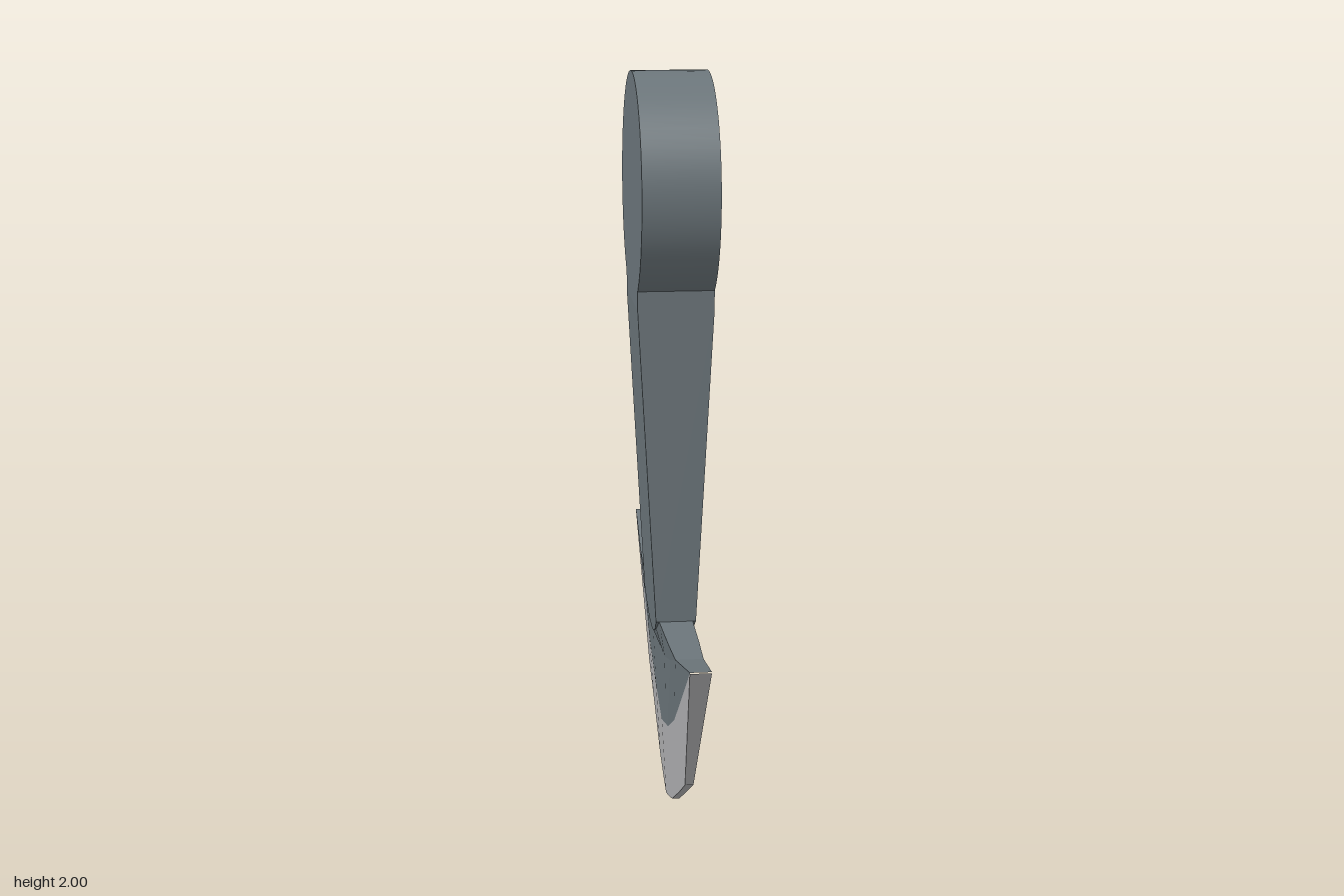
import * as THREE from 'three';

const slate = new THREE.MeshStandardMaterial({ color: 0x6c767b });
slate.name = 'slate';
const steel = new THREE.MeshStandardMaterial({ color: 0xb2b2b4 });
steel.name = 'pale steel';

// Blade cross-sections from the middle to the tip:
// z, then [half thickness, height] of top rim, hollow, bevel line and cutting edge
const half = [
  [0, [0.05, 0.49], [0.03, 0.447], [0.022, 0.218], [0.01, 0]],
  [0.06, [0.05, 0.498], [0.03, 0.449], [0.022, 0.233], [0.01, 0.016]],
  [0.12, [0.049, 0.522], [0.03, 0.453], [0.022, 0.249], [0.01, 0.035]],
  [0.165, [0.045, 0.556], [0.031, 0.46], [0.022, 0.26], [0.01, 0.05]],
  [0.35, [0.041, 0.56], [0.034, 0.513], [0.024, 0.348], [0.01, 0.147]],
  [0.49, [0.036, 0.563], [0.036, 0.563], [0.025, 0.443], [0.011, 0.223]],
  [0.74, [0.027, 0.617], [0.027, 0.617], [0.027, 0.616], [0.027, 0.614]],
];
const sections = [...half.slice(1).reverse().map(([z, ...p]) => [-z, ...p]), ...half];

// Strips between neighbouring sections; each strip joins two [rail, side] lines
function bladePart(strips) {
  const pos = [];
  const point = (s, [rail, side]) => [side * s[rail][0], s[rail][1], s[0]];
  for (let i = 0; i < sections.length - 1; i++) {
    const s = sections[i], t = sections[i + 1];
    for (const [p, q] of strips) {
      const a = point(s, p), b = point(s, q), c = point(t, q), d = point(t, p);
      pos.push(...a, ...c, ...b, ...a, ...d, ...c);
    }
  }
  const geo = new THREE.BufferGeometry();
  geo.setAttribute('position', new THREE.Float32BufferAttribute(pos, 3));
  geo.computeVertexNormals();
  return geo;
}

export function createModel() {
  const group = new THREE.Group();
  const add = (name, geo, mat) => {
    const mesh = new THREE.Mesh(geo, mat);
    mesh.name = name;
    group.add(mesh);
  };

  // Round pommel lying across the handle, with a short straight neck
  const disc = new THREE.CylinderGeometry(0.3, 0.3, 0.2, 72);
  disc.rotateZ(Math.PI / 2).translate(0, 1.7, 0);
  add('pommel', disc, slate);
  add('neck', new THREE.BoxGeometry(0.2, 0.055, 0.33).translate(0, 1.4275, 0), slate);

  // Handle with a rounded foot, thinning downwards
  const outline = new THREE.Shape();
  outline.moveTo(-0.165, 1.4);
  const foot = half.slice(0, 4);
  for (const s of [...foot].reverse()) outline.lineTo(-s[0], s[1][1]);
  for (const s of foot.slice(1)) outline.lineTo(s[0], s[1][1]);
  outline.lineTo(0.165, 1.4);
  const handle = new THREE.ExtrudeGeometry(outline, { depth: 0.2, bevelEnabled: false });
  handle.translate(0, 0, -0.1).rotateY(Math.PI / 2);
  const p = handle.attributes.position;
  for (let i = 0; i < p.count; i++) {
    const t = (1.4 - p.getY(i)) / (1.4 - 0.49);
    p.setX(i, p.getX(i) * (1 - 0.5 * t));
  }
  handle.computeVertexNormals();
  add('handle', handle, slate);

  // Curved blade body: top, hollow cheeks and flanks
  add('bladeBody', bladePart([
    [[1, -1], [1, 1]],
    [[1, 1], [2, 1]], [[2, 1], [3, 1]],
    [[2, -1], [1, -1]], [[3, -1], [2, -1]],
  ]), slate);

  // Ground bevel and cutting edge
  add('cuttingEdge', bladePart([
    [[3, 1], [4, 1]], [[4, 1], [4, -1]], [[4, -1], [3, -1]],
  ]), steel);

  return group;
}
